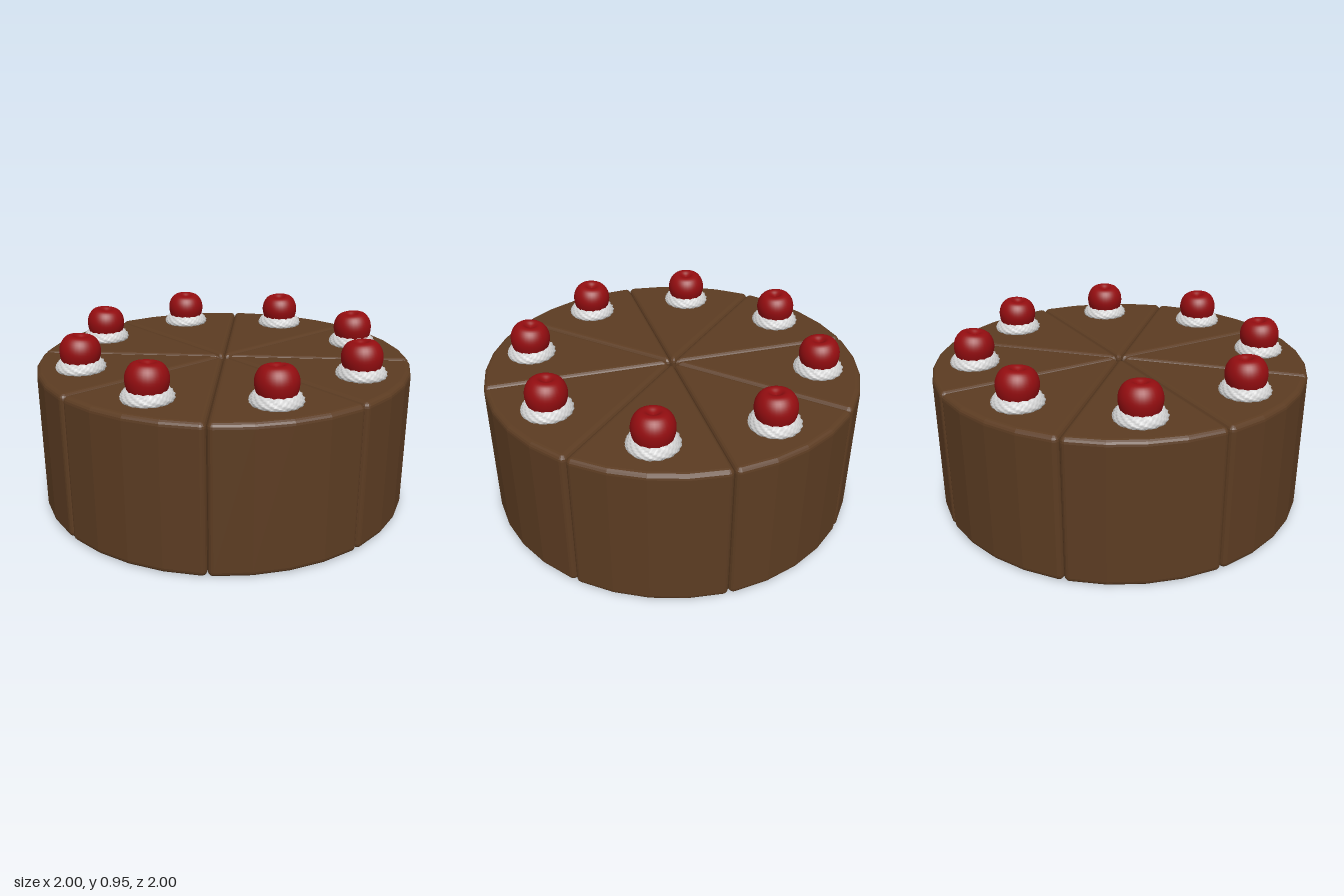
import * as THREE from 'three';

const SLICES = 8;
const HALF = Math.PI / SLICES; // half the angle of one slice
const HEIGHT = 0.765;
const BEVEL = 0.028;

// Skin closed rings (counter-clockwise from above, bottom to top) and cap both ends
function loft(rings, flat) {
  const n = rings[0].length;
  const positions = rings.flat().flatMap((p) => [p.x, p.y, p.z]);
  const index = [];
  for (let i = 0; i < rings.length - 1; i++) {
    for (let j = 0; j < n; j++) {
      const a = i * n + j, b = i * n + (j + 1) % n;
      index.push(a, b, b + n, a, b + n, a + n);
    }
  }
  const top = (rings.length - 1) * n;
  for (let j = 1; j < n - 1; j++) {
    index.push(0, j + 1, j, top, top + j, top + j + 1);
  }
  let geometry = new THREE.BufferGeometry();
  geometry.setAttribute('position', new THREE.Float32BufferAttribute(positions, 3));
  geometry.setIndex(index);
  if (flat) geometry = geometry.toNonIndexed();
  geometry.computeVertexNormals();
  return geometry;
}

// Wedge with its point at the centre, pointing out along +z, all edges rounded
function sliceGeometry() {
  const dir = (a) => new THREE.Vector2(Math.sin(a), Math.cos(a));
  const outline = []; // inner core point and outward offset
  const tip = new THREE.Vector2(0, BEVEL / Math.sin(HALF));
  const addTip = (p) => outline.push([tip, p.sub(tip)]);
  addTip(new THREE.Vector2(0, 0.024));
  addTip(dir(-HALF).multiplyScalar(0.035));

  const coreRadius = 1 - BEVEL;
  const edge = HALF - Math.asin(BEVEL / coreRadius);
  const addRim = (a, normalAngle) => outline.push([
    dir(a).multiplyScalar(coreRadius), dir(normalAngle).multiplyScalar(BEVEL)]);
  const corner = HALF + Math.PI / 2;
  for (let i = 0; i < 4; i++) addRim(-edge, THREE.MathUtils.lerp(-corner, -edge, i / 4));
  for (let i = 0; i <= 4; i++) {
    const a = THREE.MathUtils.lerp(-edge, edge, i / 4);
    addRim(a, a);
  }
  for (let i = 1; i <= 4; i++) addRim(edge, THREE.MathUtils.lerp(edge, corner, i / 4));
  addTip(dir(HALF).multiplyScalar(0.035));

  const ring = (y, s) => outline.map(([c, o]) =>
    new THREE.Vector3(c.x + o.x * s, y, c.y + o.y * s));
  const steps = 4;
  const lower = [], upper = [];
  for (let i = 0; i <= steps; i++) {
    const f = (i / steps) * Math.PI / 2;
    const rise = BEVEL * (1 - Math.cos(f));
    lower.push(ring(rise, Math.sin(f)));
    upper.unshift(ring(HEIGHT - rise, Math.sin(f)));
  }
  return loft([...lower, ...upper], true);
}

// Low piped ring with twisted ridges
function creamGeometry() {
  const profile = new THREE.CatmullRomCurve3([
    [0.110, 0.750], [0.126, 0.768], [0.127, 0.782], [0.117, 0.800], [0.103, 0.814], [0.075, 0.820],
  ].map(([r, y]) => new THREE.Vector3(r, y, 0)));
  const around = 112, ridges = 14;
  const rings = profile.getPoints(12).map((p, i) => {
    const twist = (i / 12) * 1.7;
    return Array.from({ length: around }, (_, j) => {
      const a = (j / around) * Math.PI * 2;
      const ridge = Math.abs(Math.sin((a + twist) * ridges / 2));
      const r = p.x * (0.93 + 0.1 * ridge);
      return new THREE.Vector3(r * Math.sin(a), p.y + 0.006 * (ridge - 0.5), r * Math.cos(a));
    });
  });
  return loft(rings, false);
}

// Plump cherry with a dimple on top, centred on its own origin
function cherryGeometry() {
  const curve = new THREE.SplineCurve([
    [0, -0.095], [0.055, -0.085], [0.09, -0.05], [0.105, 0.005], [0.098, 0.05],
    [0.075, 0.083], [0.045, 0.092], [0.02, 0.079], [0, 0.072],
  ].map(([x, y]) => new THREE.Vector2(x, y)));
  const points = curve.getPoints(28);
  points[0].x = points[points.length - 1].x = 0;
  return new THREE.LatheGeometry(points, 32);
}

export function createModel() {
  const material = (name, color) => {
    const m = new THREE.MeshStandardMaterial({ color });
    m.name = name;
    return m;
  };
  const chocolate = material('chocolate', 0x5c3c22);
  const cream = material('cream', 0xd2d2d2);
  const red = material('cherry red', 0x930d10);

  const cake = new THREE.Group();
  cake.name = 'cake';
  const sliceGeo = sliceGeometry(), creamGeo = creamGeometry(), cherryGeo = cherryGeometry();

  for (let i = 0; i < SLICES; i++) {
    const slice = new THREE.Group();
    slice.name = 'slice';
    slice.rotation.y = THREE.MathUtils.degToRad(33.75 + 45 * i);
    const add = (name, geometry, mat, y, z) => {
      const mesh = new THREE.Mesh(geometry, mat);
      mesh.name = name;
      mesh.position.set(0, y, z);
      slice.add(mesh);
      return mesh;
    };
    add('sponge', sliceGeo, chocolate, 0, 0);
    add('creamSwirl', creamGeo, cream, 0, 0.775);
    const cherry = add('cherry', cherryGeo, red, 0.851, 0.775);
    cherry.rotation.x = -0.1; // leans slightly inward
    cake.add(slice);
  }
  return cake;
}
